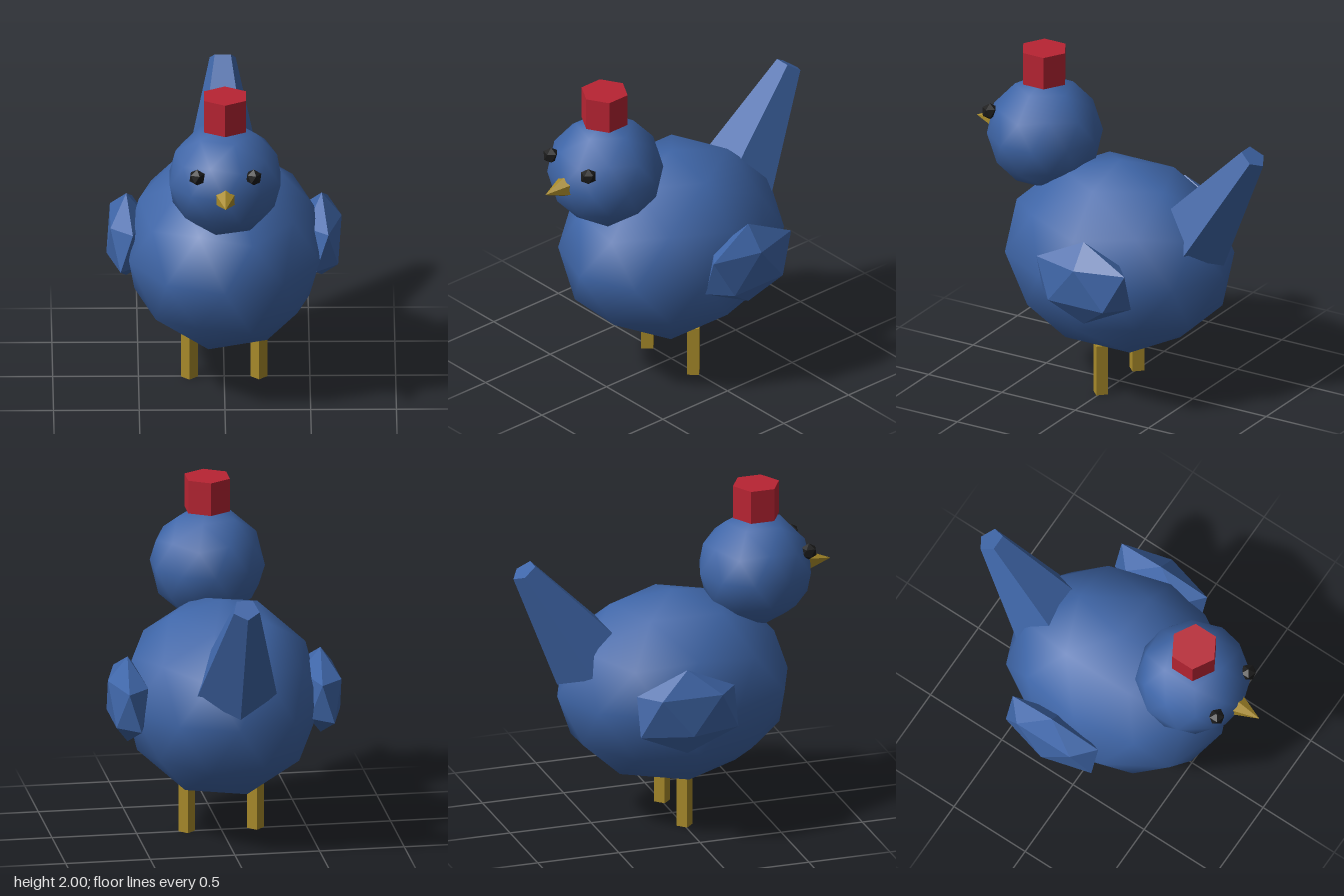
import * as THREE from 'three';

const mat = (name, color, flatShading = false) => {
  const m = new THREE.MeshStandardMaterial({ color, flatShading });
  m.name = name;
  return m;
};

// Icosahedral ball with its poles on the y axis; detail 1 is smooth, detail 0 faceted
function ball(rx, ry, rz, detail) {
  return new THREE.IcosahedronGeometry(1, detail)
    .rotateZ(-Math.atan(2 / (1 + Math.sqrt(5))))
    .scale(rx, ry, rz);
}

// Prism or cone with crisp sides
function prism(rTop, rBottom, height, sides, start = 0) {
  const g = new THREE.CylinderGeometry(rTop, rBottom, height, sides, 1, false, start).toNonIndexed();
  g.computeVertexNormals();
  return g;
}

export function createModel() {
  const model = new THREE.Group();
  model.name = 'bird';
  const blue = mat('blue feathers', 0x3f66a8);
  const red = mat('red comb', 0xb82433);
  const gold = mat('gold beak and legs', 0xa88a2a);
  const black = mat('black eyes', 0x1a1a1a);

  const add = (name, geometry, material, x, y, z) => {
    const mesh = new THREE.Mesh(geometry, material);
    mesh.name = name;
    mesh.position.set(x, y, z);
    model.add(mesh);
    return mesh;
  };

  // Body and head
  add('body', ball(0.585, 0.585, 0.71, 1), blue, 0, 0.82, 0);
  add('head', ball(0.34, 0.336, 0.34, 1), blue, 0, 1.475, 0.51);

  // Comb on the crown
  add('comb', prism(0.142, 0.142, 0.2, 6), red, 0, 1.9, 0.515);

  // Beak pointing forwards
  add('beak', prism(0, 0.08, 0.19, 6).rotateX(Math.PI / 2), gold, 0, 1.475, 0.88);

  // Five-sided tail, leaning back and tapering to its tip
  add('tail', prism(0.08, 0.25, 0.725, 5, Math.PI).rotateX(-0.6), blue, 0, 1.335, -0.709);

  // Paired parts
  for (const [side, s] of [['left', 1], ['right', -1]]) {
    add(side + 'Wing', ball(0.13, 0.26, 0.353, 0), blue, s * 0.57, 0.86, -0.1);
    add(side + 'Eye', ball(0.05, 0.05, 0.05, 0), black, s * 0.165, 1.6, 0.785);
    add(side + 'Leg', prism(0.05, 0.05, 0.31, 4), gold, s * 0.203, 0.155, 0.005);
  }
  return model;
}
